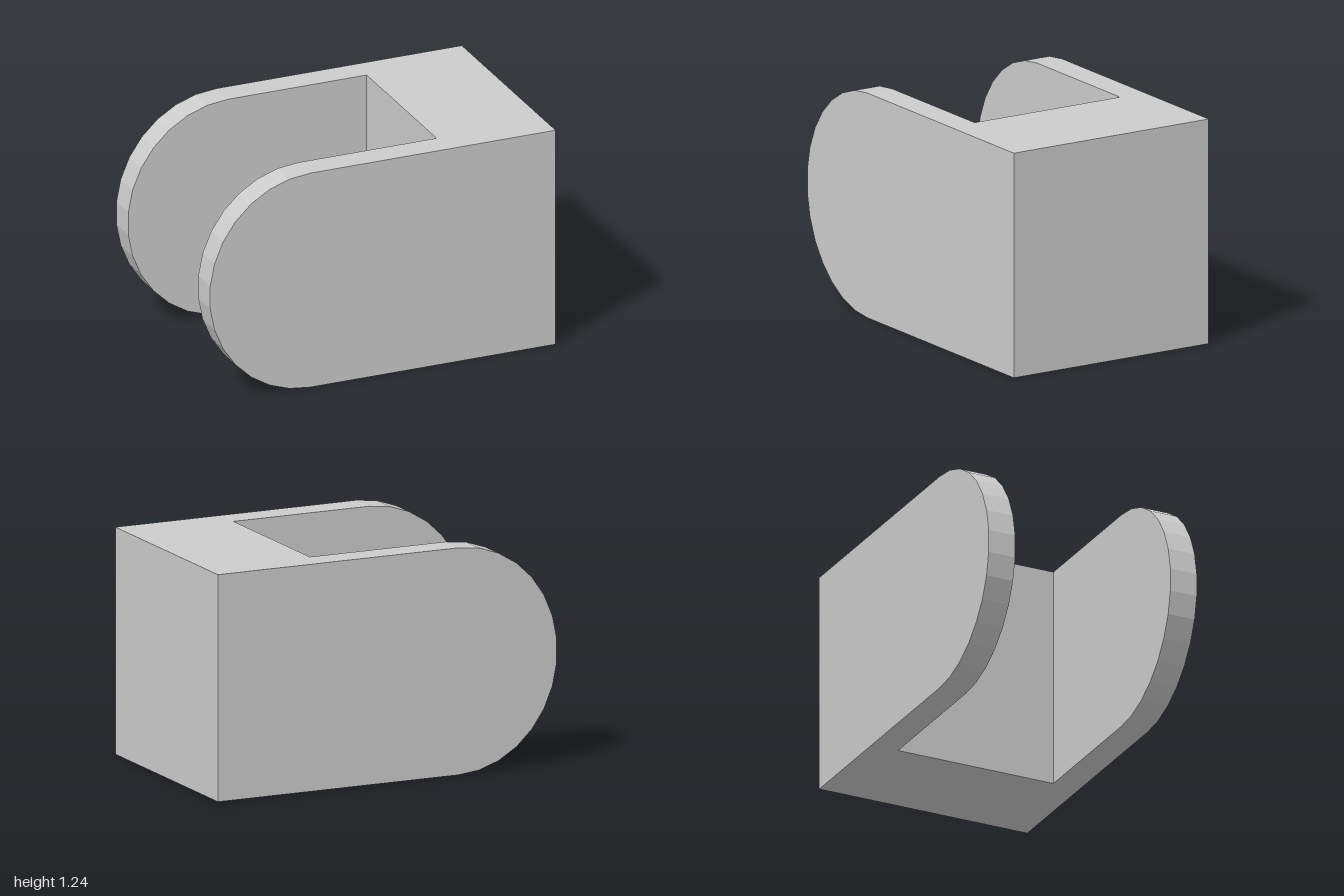
import * as THREE from 'three';

const H = 1.236;        // height
const HALF_Z = 0.617;   // half depth
const INNER_Z = 0.46;   // half width of the slot
const BLOCK_X = 0.38;   // where the solid block begins
const ARC_X = -0.42;    // where the cheeks start to round off
const ARC_STEPS = 15;

export function createModel() {
  const group = new THREE.Group();
  group.name = 'clevis';
  const material = new THREE.MeshStandardMaterial({ color: 0xcccccc, flatShading: true });

  // Solid block joining the two cheeks
  const block = new THREE.Mesh(new THREE.BoxGeometry(1 - BLOCK_X, H, HALF_Z * 2), material);
  block.name = 'block';
  block.position.set((1 + BLOCK_X) / 2, H / 2, 0);
  group.add(block);

  // Cheek outline: straight edges with a faceted round end
  const outline = [new THREE.Vector2(BLOCK_X, 0), new THREE.Vector2(BLOCK_X, H)];
  const radiusX = (1 + ARC_X) / Math.cos(Math.PI / ARC_STEPS / 2);
  for (let i = 0; i <= ARC_STEPS; i++) {
    const a = Math.PI / 2 + (Math.PI * i) / ARC_STEPS;
    outline.push(new THREE.Vector2(ARC_X + radiusX * Math.cos(a), (H / 2) * (1 + Math.sin(a))));
  }
  const cheekGeometry = new THREE.ExtrudeGeometry(new THREE.Shape(outline), {
    depth: HALF_Z - INNER_Z,
    bevelEnabled: false,
  });

  // Front and back cheeks
  for (const [name, z] of [['frontCheek', INNER_Z], ['backCheek', -HALF_Z]]) {
    const cheek = new THREE.Mesh(cheekGeometry, material);
    cheek.name = name;
    cheek.position.z = z;
    group.add(cheek);
  }
  return group;
}
